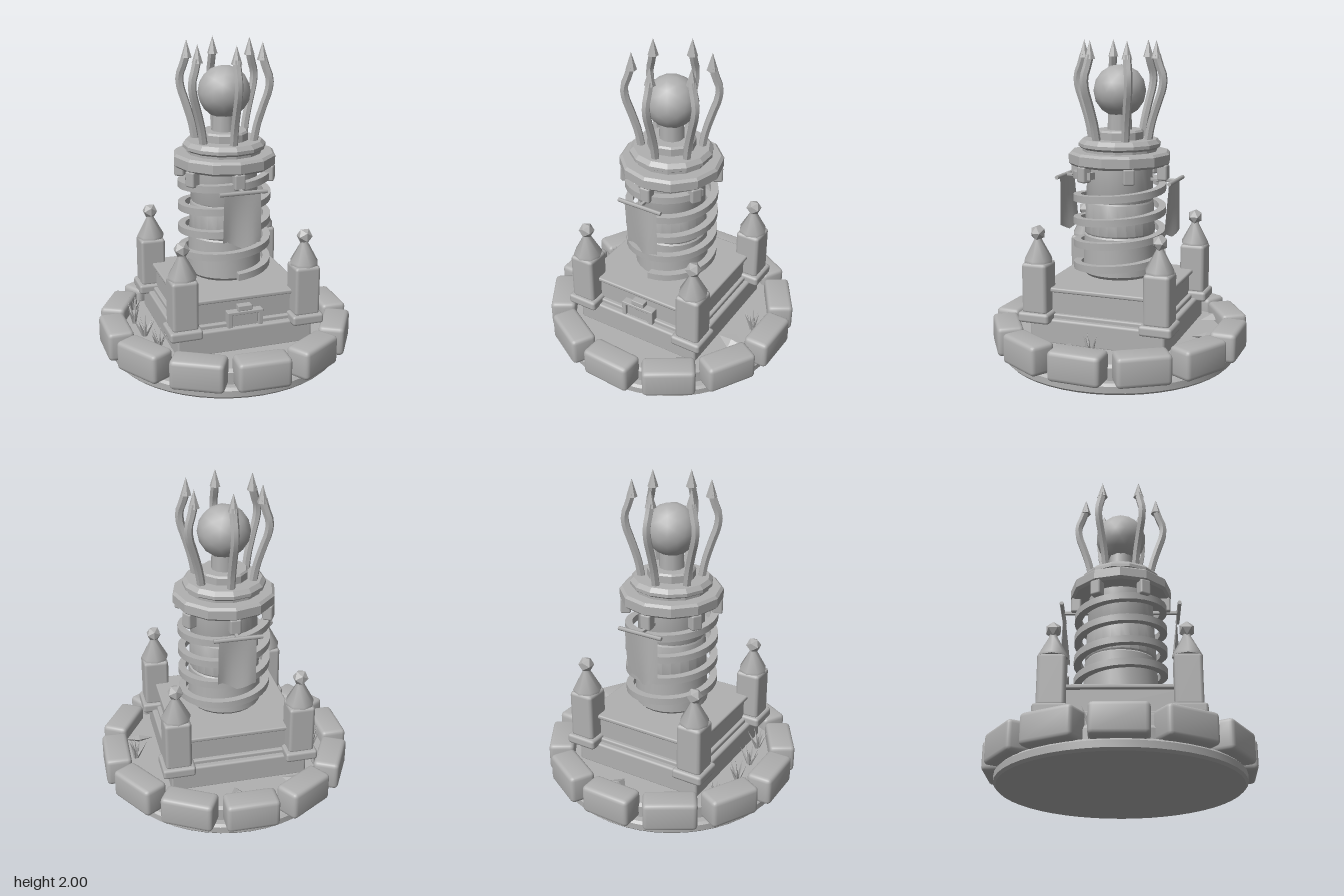
import * as THREE from 'three';
import { toCreasedNormals } from 'three/addons/utils/BufferGeometryUtils.js';
import { RoundedBoxGeometry } from 'three/addons/geometries/RoundedBoxGeometry.js';

export function createModel() {
  const model = new THREE.Group();
  model.name = 'orbTower';
  const stone = new THREE.MeshStandardMaterial({ color: 0xb0b0b0 });
  stone.name = 'stoneGrey';
  const cloth = stone.clone();
  cloth.name = 'clothGrey';
  cloth.side = THREE.DoubleSide;

  const add = (name, geo, x = 0, y = 0, z = 0, parent = model, mat = stone) => {
    const m = new THREE.Mesh(geo, mat);
    m.name = name;
    m.position.set(x, y, z);
    parent.add(m);
    return m;
  };
  const crease = (geo, angle = 0.6) => toCreasedNormals(geo, angle);
  const lathe = (pts, sides, angle = 0.6) =>
    crease(new THREE.LatheGeometry(pts.map(p => new THREE.Vector2(p[0], p[1])), sides), angle);
  const box = (w, h, d, r = 0.01) => new RoundedBoxGeometry(w, h, d, 1, r);
  const group = (name, angle = 0) => {
    const g = new THREE.Group();
    g.name = name;
    g.rotation.y = angle;
    model.add(g);
    return g;
  };
  let seed = 7;
  const rand = () => (seed = (seed * 16807) % 2147483647) / 2147483647;

  // round base and raised floor
  add('base', lathe([[0, 0], [0.73, 0], [0.745, 0.015], [0.745, 0.055], [0.73, 0.07], [0, 0.07]], 48));
  add('floor', lathe([[0.69, 0.06], [0.69, 0.145], [0.675, 0.165], [0, 0.165]], 48));

  // ring of kerb stones
  for (let i = 0; i < 12; i++) {
    const g = group('kerbStone', (i * Math.PI) / 6);
    const s = add('kerbStoneBlock', crease(new RoundedBoxGeometry(0.33, 0.187, 0.165, 2, 0.028), 0.7), 0, 0.159, 0.72, g);
    s.rotation.y = (rand() - 0.5) * 0.1;
  }

  // stepped square plinth
  add('lowerPlinth', box(0.87, 0.16, 0.87, 0.015), 0, 0.235, 0);
  add('plinthFoot', box(0.8, 0.04, 0.8), 0, 0.32, 0);
  add('upperPlinth', box(0.75, 0.19, 0.75), 0, 0.395, 0);
  add('plinthCap', box(0.8, 0.028, 0.8), 0, 0.49, 0);

  // framed plaque on the front of the plinth
  add('plaquePanel', box(0.17, 0.085, 0.04, 0.004), 0, 0.355, 0.39);
  for (const s of [-1, 1]) add('plaqueSide', box(0.03, 0.1, 0.06, 0.005), s * 0.1, 0.36, 0.395);
  add('plaqueTop', box(0.23, 0.022, 0.06, 0.005), 0, 0.402, 0.395);
  add('plaqueCrest', box(0.09, 0.035, 0.05, 0.005), 0, 0.43, 0.395);

  // corner pillars with cone roofs and faceted knobs
  for (const sx of [-1, 1]) for (const sz of [-1, 1]) {
    const g = group('cornerPillar');
    g.position.set(sx * 0.39, 0, sz * 0.39);
    add('pillarFoot', box(0.205, 0.065, 0.205, 0.018), 0, 0.325, 0, g);
    add('pillarShaft', box(0.165, 0.32, 0.165, 0.022), 0, 0.505, 0, g);
    add('pillarRoof', lathe([[0, 0.665], [0.09, 0.665], [0.09, 0.68], [0.025, 0.8], [0.025, 0.82], [0, 0.82]], 8, 0.9), 0, 0, 0, g);
    add('pillarKnob', new THREE.IcosahedronGeometry(0.05, 0).toNonIndexed(), 0, 0.845, 0, g);
  }

  // tapering column
  add('column', lathe([[0, 0.535], [0.215, 0.535], [0.234, 0.555], [0.226, 0.79], [0.218, 0.8], [0.224, 0.81],
    [0.214, 1.0], [0.208, 1.01], [0.213, 1.02], [0.203, 1.25], [0, 1.25]], 24));

  // spiral band around the column, swept with a square section
  const turns = 4.2, steps = 150, pos = [], idx = [];
  const section = [[0.247, -0.022], [0.293, -0.022], [0.293, 0.022], [0.247, 0.022]];
  for (let i = 0; i <= steps; i++) {
    const a = (i / steps) * turns * Math.PI * 2;
    for (const [r, h] of section) pos.push(Math.sin(a) * r, 0.58 + (i / steps) * turns * 0.145 + h, Math.cos(a) * r);
    if (i < steps) for (let k = 0; k < 4; k++) {
      const p = i * 4 + k, q = i * 4 + ((k + 1) % 4);
      idx.push(p, p + 4, q, q, p + 4, q + 4);
    }
  }
  const e = steps * 4;
  idx.push(0, 1, 2, 0, 2, 3, e, e + 2, e + 1, e, e + 3, e + 2);
  const spiral = new THREE.BufferGeometry();
  spiral.setAttribute('position', new THREE.Float32BufferAttribute(pos, 3));
  spiral.setIndex(idx);
  spiral.computeVertexNormals();
  add('spiralBand', crease(spiral), 0, 0, 0, model, cloth);

  // collar and stacked discs
  add('collar', lathe([[0.19, 1.235], [0.305, 1.235], [0.322, 1.25], [0.322, 1.305], [0.305, 1.32], [0.19, 1.32]], 12, 0.2));
  add('crownDisc', lathe([[0.235, 1.31], [0.235, 1.335], [0.258, 1.35], [0.258, 1.37], [0.235, 1.395], [0, 1.395]], 14, 0.2));
  add('orbStep', lathe([[0.15, 1.39], [0.15, 1.44], [0.14, 1.452], [0, 1.452]], 12, 0.2));
  add('orbStand', new THREE.CylinderGeometry(0.075, 0.08, 0.13, 10), 0, 1.505, 0);
  add('orb', crease(new THREE.IcosahedronGeometry(0.163, 2), 0.7), 0, 1.69, 0);

  // six brackets below the collar and six curved claws around the orb
  const clawPath = new THREE.CatmullRomCurve3([[0.185, 1.38], [0.205, 1.49], [0.245, 1.62], [0.275, 1.71], [0.28, 1.78], [0.255, 1.85], [0.237, 1.91]]
    .map(([r, y]) => new THREE.Vector3(0, y, r)));
  for (let i = 0; i < 6; i++) {
    const g = group('crownSegment', (i * Math.PI) / 3);
    add('bracket', box(0.07, 0.1, 0.065, 0.012), 0, 1.195, 0.285, g);
    add('claw', crease(new THREE.TubeGeometry(clawPath, 14, 0.026, 6), 0.5), 0, 0, 0, g);
    add('clawTip', crease(new THREE.ConeGeometry(0.034, 0.11, 6), 0.2), 0, 1.945, 0.235, g);
  }

  // front and back banners, swelling slightly toward the pointed hem
  for (const back of [0, 1]) {
    const g = group('banner', back * Math.PI);
    const sheet = new THREE.PlaneGeometry(0.23, 1, 8, 8);
    const p = sheet.attributes.position;
    for (let i = 0; i < p.count; i++) {
      const x = p.getX(i), t = 0.5 - p.getY(i);
      const hem = 0.83 - 0.04 * Math.max(0, 1 - Math.abs(x) / 0.085);
      p.setY(i, 1.145 + (hem - 1.145) * t);
      p.setZ(i, 0.358 - 0.012 * t + 0.026 * t * Math.sin(x * 22));
    }
    sheet.computeVertexNormals();
    add('bannerCloth', sheet, 0, 0, 0, g, cloth);
    const rod = add('bannerRod', new THREE.CylinderGeometry(0.013, 0.013, 0.3, 6), 0, 1.147, 0.368, g);
    rod.rotation.z = Math.PI / 2;
    add('bannerArm', box(0.02, 0.02, 0.17, 0.003), 0, 1.147, 0.28, g);
  }

  // grass tufts on the floor
  for (const [x, z, h] of [[-0.57, -0.15, 0.15], [-0.55, 0.06, 0.14], [-0.51, 0.26, 0.14], [0.6, -0.03, 0.15], [-0.52, -0.36, 0.1]]) {
    const g = group('grassTuft');
    g.position.set(x, 0.16, z);
    for (let i = 0; i < 7; i++) {
      const blade = new THREE.ConeGeometry(0.014, h, 4).translate(0, h / 2, 0);
      const m = add('grassBlade', crease(blade, 0.2), 0, 0, 0, g);
      m.rotation.set(0, (i / 7) * Math.PI * 2, 0);
      m.rotateX(0.15 + rand() * 0.4);
    }
  }

  // flat pointed shards lying on the floor
  for (const [x, z, turn] of [[0.04, -0.59, 0.1], [0.55, 0.16, 1.5], [-0.34, -0.53, -2.3]]) {
    const shard = new THREE.OctahedronGeometry(1, 0).scale(0.055, 0.022, 0.095);
    add('shard', shard, x, 0.185, z).rotation.set(0.15, turn, 0.25);
  }
  return model;
}
